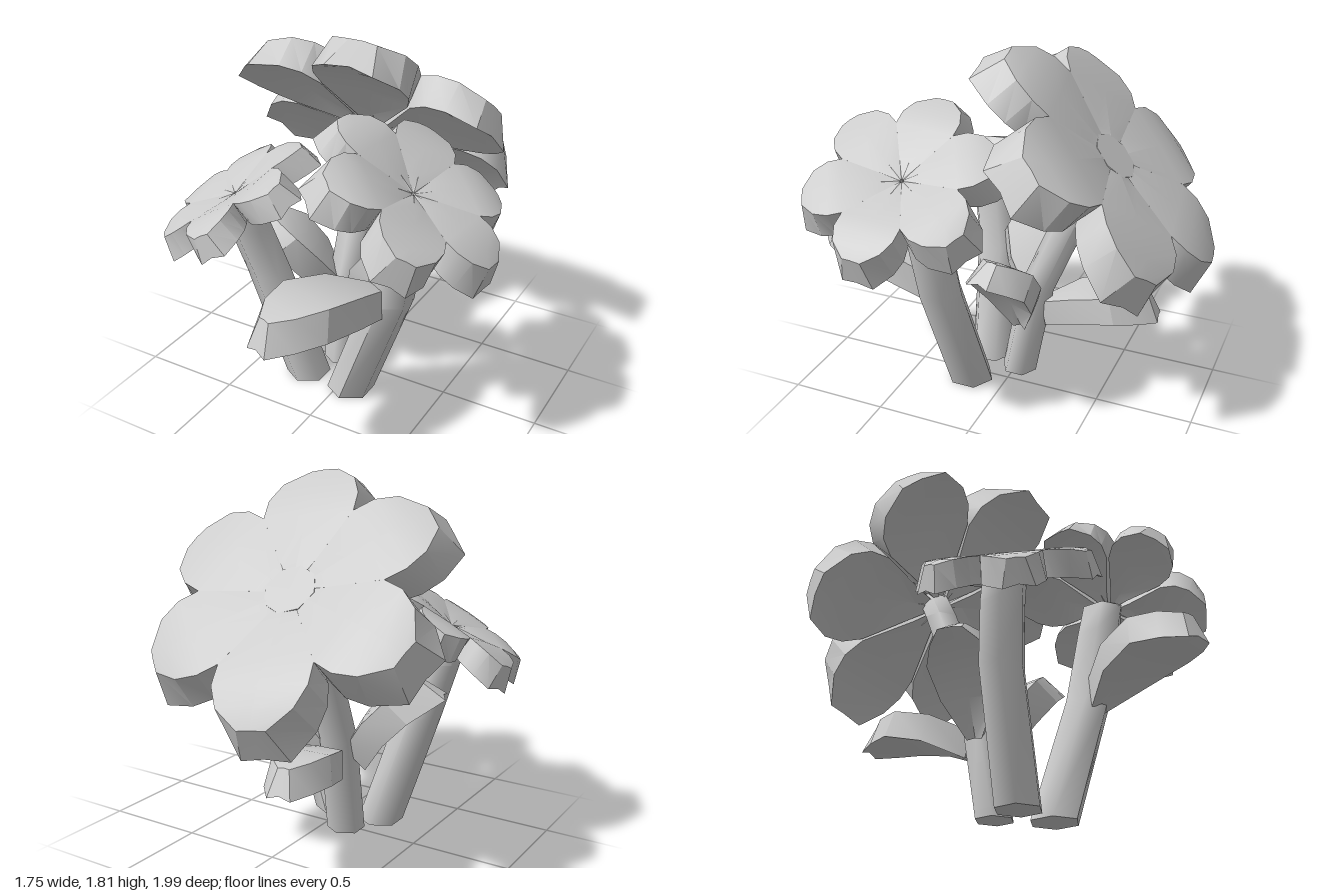
import * as THREE from 'three';
import { toCreasedNormals } from 'three/addons/utils/BufferGeometryUtils.js';

const V = (a) => new THREE.Vector3(...a);
const grey = new THREE.MeshStandardMaterial({ color: 0xcccccc });
grey.name = 'plain grey';

// Solid blade along +X with a folded-down rim and a thick underside.
// Each station: [distance, half width, height, rim drop, rim flare]
function bladeGeometry(stations) {
  const pos = [], idx = [], n = 6;
  stations.forEach(([u, w, h, drop, flare], i) => {
    const along = i === stations.length - 1 ? flare : Math.max(flare, 0) * 0.35;
    const low = h - drop, lowW = Math.max(w + flare, 0.002);
    pos.push(
      u, h, 0,
      u, h - drop * 0.03, w,
      u + along, low, lowW,
      u + along, low + drop * 0.12, 0,
      u + along, low, -lowW,
      u, h - drop * 0.03, -w);
    if (i === 0) return;
    for (let j = 0; j < n; j++) {
      const a = (i - 1) * n + j, b = (i - 1) * n + (j + 1) % n;
      idx.push(a, b, b + n, a, b + n, a + n);
    }
  });
  const end = (stations.length - 1) * n;
  for (let j = 1; j < n - 1; j++) {
    idx.push(0, j + 1, j, end, end + j, end + j + 1);
  }
  const g = new THREE.BufferGeometry();
  g.setAttribute('position', new THREE.Float32BufferAttribute(pos, 3));
  g.setIndex(idx);
  return toCreasedNormals(g, 0.5);
}

function mesh(geometry, name) {
  const m = new THREE.Mesh(geometry, grey);
  m.name = name;
  return m;
}

// Orients an object so that its X follows dir and its Y lies nearest to up
function orient(object, dir, up) {
  const x = dir.clone().normalize();
  const y = up.clone().addScaledVector(x, -up.dot(x)).normalize();
  const z = x.clone().cross(y);
  object.quaternion.setFromRotationMatrix(new THREE.Matrix4().makeBasis(x, y, z));
}

// Six petals, joined on top and parted below by narrow slits
function flower({ name, centre, normal, radius, drop, flare, turn, dish, disc }) {
  const group = new THREE.Group();
  group.name = name;
  const R = radius, slit = -0.012;
  const petal = bladeGeometry([
    [0.02 * R, 0.0116 * R, -dish, drop * 0.9, slit],
    [0.22 * R, 0.127 * R, 0.02 * R - dish * 0.5, drop * 0.95, slit],
    [0.57 * R, 0.329 * R, 0.06 * R, drop, slit * 0.5],
    [0.72 * R, 0.33 * R, 0.06 * R, drop, flare * 0.3],
    [0.87 * R, 0.265 * R, 0.045 * R, drop, flare * 0.7],
    [R, 0.1 * R, 0.005 * R, drop, flare],
  ]);
  for (let i = 0; i < 6; i++) {
    const p = mesh(petal, 'petal');
    p.rotation.y = THREE.MathUtils.degToRad(turn + i * 60);
    group.add(p);
  }
  if (disc) {
    const d = mesh(new THREE.CylinderGeometry(disc, disc, 0.06, 8), 'flowerCentre');
    d.position.y = -0.02;
    group.add(d);
  }
  const y = V(normal).normalize();
  orient(group, new THREE.Vector3(1, 0, 0).addScaledVector(y, -y.x), y);
  group.position.set(...centre);
  return group;
}

// Six-sided stem: a closed cylinder whose level rings follow the given points
function stem(name, points, radius) {
  const g = new THREE.CylinderGeometry(radius * 0.92, radius, 1, 6, points.length - 1);
  const p = g.attributes.position;
  for (let i = 0; i < p.count; i++) {
    const [x, y, z] = points[Math.round((p.getY(i) + 0.5) * (points.length - 1))];
    p.setXYZ(i, p.getX(i) + x, y, p.getZ(i) + z);
  }
  return mesh(toCreasedNormals(g, 1.1), name);
}

// Arched leaf running from base to tip
function leaf(base, tip, width, drop) {
  const dir = V(tip).sub(V(base)), L = dir.length();
  const m = mesh(bladeGeometry([
    [0, width * 0.25, 0, drop, 0],
    [0.35 * L, width * 0.85, 0.09 * L, drop, 0.015],
    [0.68 * L, width, 0.1 * L, drop, 0.025],
    [0.88 * L, width * 0.68, 0.05 * L, drop, 0.025],
    [L, width * 0.2, 0, drop, 0.03],
  ]), 'leaf');
  orient(m, dir, new THREE.Vector3(0, 1, 0));
  m.position.set(...base);
  return m;
}

export function createModel() {
  const model = new THREE.Group();
  model.name = 'flowerBunch';

  // Flower heads
  model.add(
    flower({ name: 'largeBackFlower', centre: [-0.12, 1.32, -0.495], normal: [0, 0.707, -0.707],
      radius: 0.7, drop: 0.18, flare: 0.05, turn: 101, dish: 0, disc: 0.13 }),
    flower({ name: 'leftFlower', centre: [0.475, 1.315, 0.33], normal: [0.53, 0.85, 0],
      radius: 0.465, drop: 0.15, flare: 0.035, turn: -5, dish: 0.03 }),
    flower({ name: 'rightFlower', centre: [-0.525, 1.07, 0.335], normal: [-0.46, 0.85, 0.23],
      radius: 0.4, drop: 0.125, flare: 0.03, turn: -14, dish: 0.02 }));

  // Stems
  model.add(
    stem('backStem', [[-0.12, 0.01, -0.02], [-0.13, 0.52, -0.11], [-0.14, 1.12, -0.355], [-0.13, 1.26, -0.43]], 0.095),
    stem('leftStem', [[0.055, 0.005, 0.19], [0.3, 0.65, 0.235], [0.375, 1.04, 0.265], [0.4, 1.2, 0.285]], 0.122),
    stem('rightStem', [[-0.21, 0.005, 0.18], [-0.4, 0.6, 0.23], [-0.47, 0.87, 0.285], [-0.49, 1.0, 0.315]], 0.115));

  // Leaves
  model.add(
    leaf([0.28, 0.74, 0.28], [0.06, 0.85, 0.93], 0.16, 0.16),
    leaf([-0.15, 0.47, -0.08], [-0.49, 0.84, 0.05], 0.14, 0.15),
    leaf([-0.1, 0.44, -0.09], [0.24, 0.83, -0.02], 0.14, 0.15),
    leaf([-0.13, 0.46, -0.14], [-0.21, 0.57, -0.69], 0.14, 0.14));
  return model;
}
